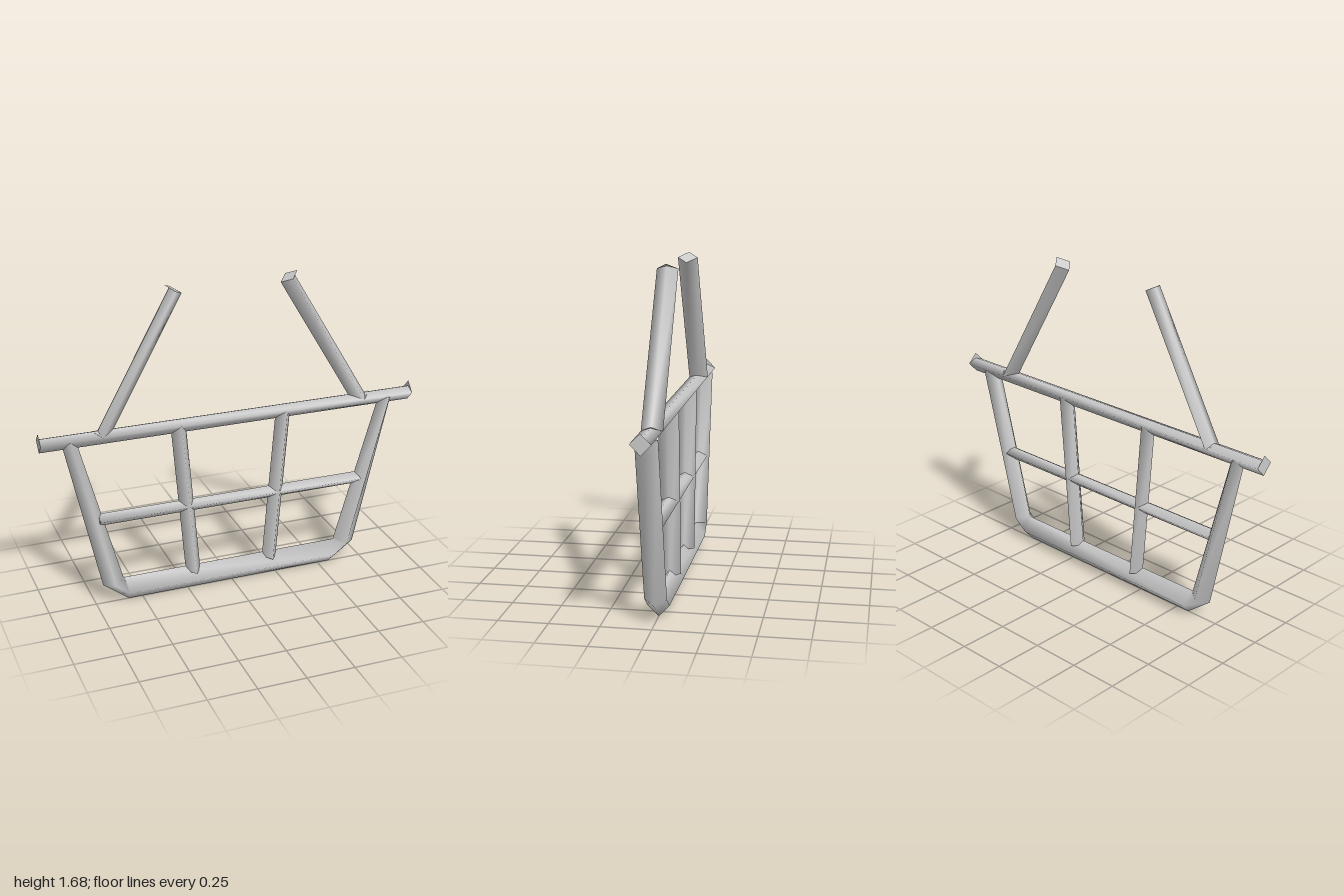
import * as THREE from 'three';

const steel = new THREE.MeshStandardMaterial({ color: 0xcccccc, side: THREE.DoubleSide });
steel.name = 'light grey steel';

function meshFrom(points, index, name) {
  const g = new THREE.BufferGeometry();
  g.setAttribute('position', new THREE.Float32BufferAttribute(points.flat(), 3));
  g.setIndex(index);
  g.computeVertexNormals();
  const m = new THREE.Mesh(g, steel);
  m.name = name;
  return m;
}

// Four corners of a diamond ring [a, centre, b]: a lies right of travel, b left of it
const corners = ([a, c, b], depth) => [[...a, 0], [...c, depth], [...b, 0], [...c, -depth]];

// Four-sided smooth tube through the rings
function sweep(name, rings, depth) {
  const group = new THREE.Group();
  group.name = name;
  const points = rings.flatMap((ring) => corners(ring, depth));
  const index = [];
  for (let i = 0; i < rings.length - 1; i++) {
    for (let j = 0; j < 4; j++) {
      const p = i * 4 + j, q = i * 4 + (j + 1) % 4;
      index.push(p, p + 4, q, q, p + 4, q + 4);
    }
  }
  group.add(meshFrom(points, index, name + 'Tube'));
  return group;
}

// Flat diamond closing one end of a tube
function endCap(ring, depth, start) {
  return meshFrom(corners(ring, depth), start ? [0, 1, 2, 0, 2, 3] : [0, 2, 1, 0, 3, 2], 'endCap');
}

// Straight bar; ra and rb are its extents right and left of the line, capR the end cap's left extent
function bar(name, p, q, ra, rb, depth, capR = rb) {
  const dx = q[0] - p[0], dy = q[1] - p[1], len = Math.hypot(dx, dy);
  const n = [dy / len, -dx / len];
  const ring = (o, r) => [
    [o[0] + n[0] * ra, o[1] + n[1] * ra], o, [o[0] - n[0] * r, o[1] - n[1] * r],
  ];
  const group = sweep(name, [ring(p, rb), ring(q, rb)], depth);
  group.add(endCap(ring(p, capR), depth, true), endCap(ring(q, capR), depth, false));
  return group;
}

export function createModel() {
  const model = new THREE.Group();
  model.name = 'hangingFrame';

  // Outer frame: tapering sides and bevelled bottom corners
  const pairs = [
    [[-0.89, 0.94], [-0.82, 0.955]],
    [[-0.71, 0.105], [-0.6, 0.13]],
    [[-0.575, 0], [-0.59, 0.13]],
    [[0.565, 0], [0.58, 0.13]],
    [[0.705, 0.1], [0.59, 0.135]],
    [[0.9, 0.935], [0.83, 0.95]],
  ];
  const rings = pairs.map(([a, b]) => [a, [(a[0] + b[0]) / 2, a[1] * 0.55 + b[1] * 0.45], b]);
  const frame = sweep('outerFrame', rings, 0.055);
  frame.add(endCap(rings[0], 0.055, true), endCap(rings[5], 0.055, false));
  model.add(frame);

  // Horizontal rails
  model.add(bar('topRail', [-1, 0.95], [1, 0.95], 0.052, 0.021, 0.05, 0.05));
  model.add(bar('middleRail', [-0.72, 0.49], [0.72, 0.49], 0.04, 0.028, 0.046));

  // Inner uprights
  model.add(bar('rightUpright', [-0.285, 0.95], [-0.215, 0.1], 0.044, 0.036, 0.052));
  model.add(bar('leftUpright', [0.215, 0.1], [0.285, 0.95], 0.036, 0.044, 0.052));

  // Slanted hangers
  model.add(bar('rightHanger', [-0.69, 0.95], [-0.302, 1.65], 0.05, 0.021, 0.052, 0.05));
  model.add(bar('leftHanger', [0.302, 1.65], [0.722, 0.95], 0.052, 0.028, 0.052, 0.05));

  return model;
}
